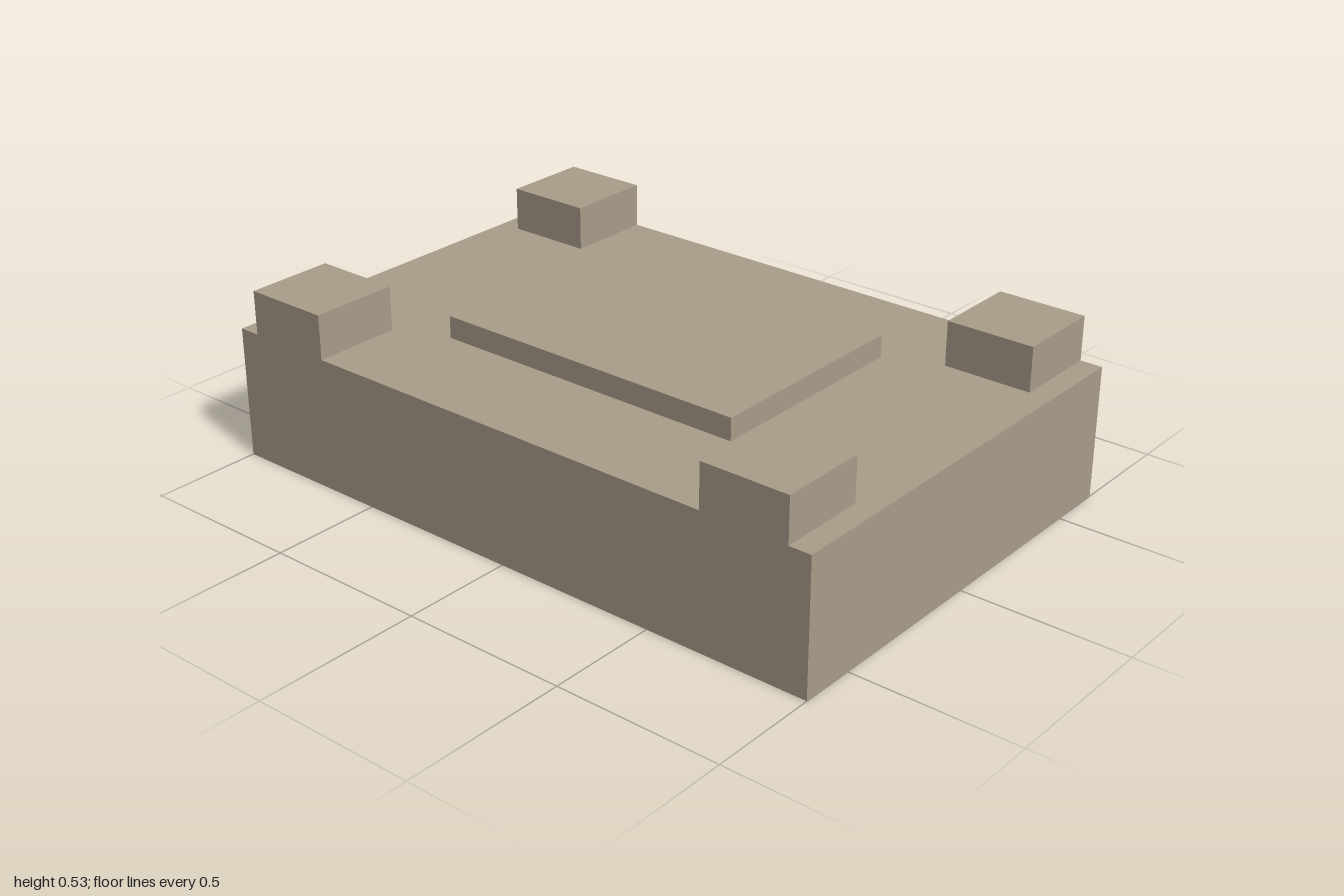
import * as THREE from 'three';

export function createModel() {
  const model = new THREE.Group();
  const stone = new THREE.MeshStandardMaterial({ color: 0xab9d8b });
  stone.name = 'stone';

  // Box resting with its underside at height y
  function block(name, w, h, d, x, y, z) {
    const mesh = new THREE.Mesh(new THREE.BoxGeometry(w, h, d), stone);
    mesh.name = name;
    mesh.position.set(x, y + h / 2, z);
    model.add(mesh);
  }

  const baseHeight = 0.4;
  block('base', 2, baseHeight, 4 / 3, 0, 0, 0);
  block('raisedPanel', 1, 0.0667, 0.6667, 0, baseHeight, 0);

  // Four corner blocks, flush with the front and back faces
  for (const [zName, sz] of [['front', 1], ['back', -1]]) {
    for (const [xName, sx] of [['Left', 1], ['Right', -1]]) {
      block(`${zName}${xName}Block`, 0.2667, 0.1333, 0.2667, sx * 0.8, baseHeight, sz * 0.5333);
    }
  }

  return model;
}
